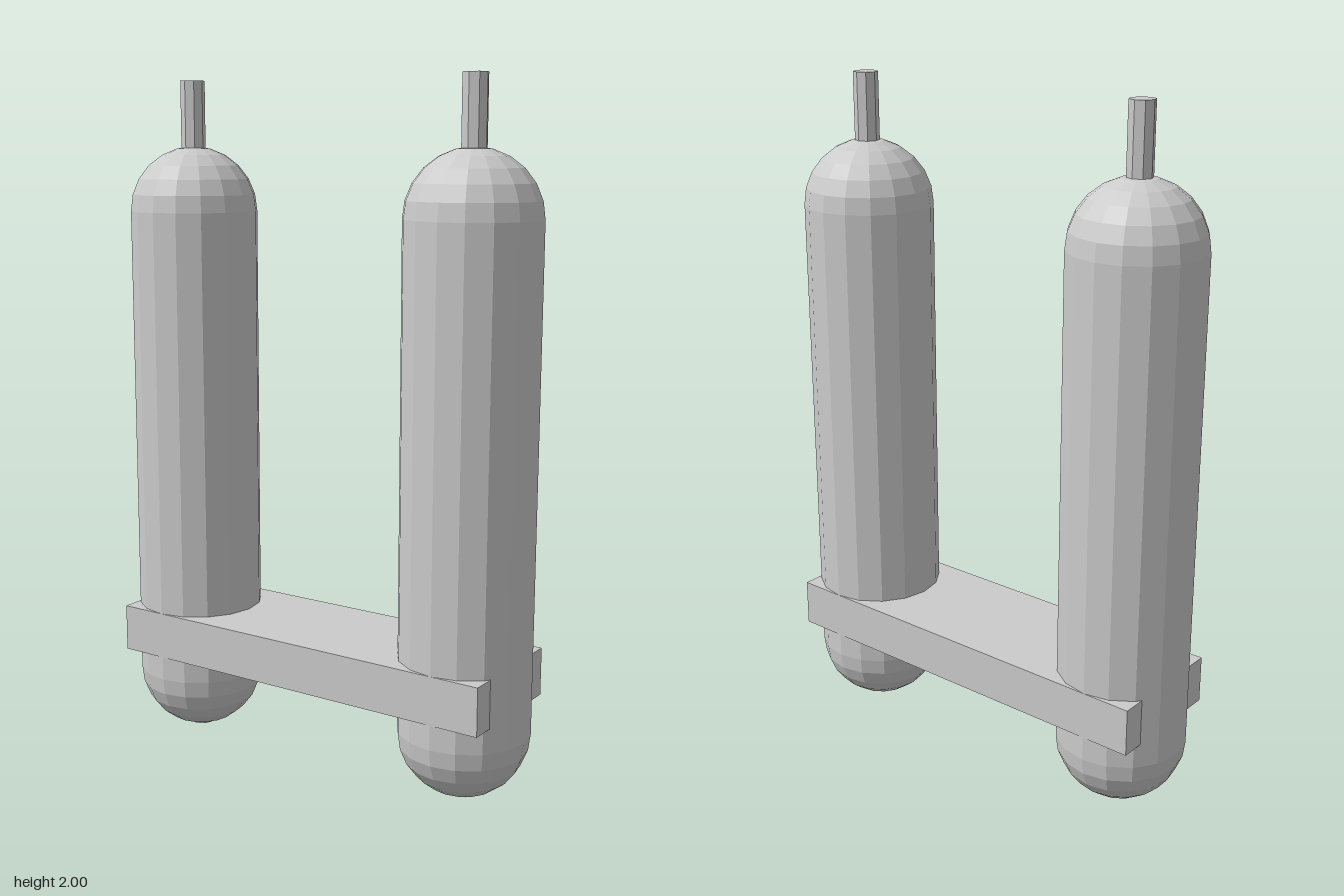
import * as THREE from 'three';

export function createModel() {
  const model = new THREE.Group();
  const material = new THREE.MeshStandardMaterial({ color: 0xcccccc, flatShading: true });
  const add = (parent, name, geometry, y) => {
    const mesh = new THREE.Mesh(geometry, material);
    mesh.name = name;
    mesh.position.y = y;
    parent.add(mesh);
  };

  const radius = 0.19, bottom = 0.193, top = 1.62, sides = 16;

  // Two round-ended tanks, each with a thin rod running right through it
  for (const side of [1, -1]) {
    const tank = new THREE.Group();
    tank.name = side > 0 ? 'leftTank' : 'rightTank';
    tank.position.x = side * 0.475;
    add(tank, 'tankBody', new THREE.CylinderGeometry(radius, radius, top - bottom, sides, 1, true), (top + bottom) / 2);
    add(tank, 'topDome', new THREE.SphereGeometry(radius, sides, 6, 0, Math.PI * 2, 0, Math.PI / 2), top);
    add(tank, 'bottomDome', new THREE.SphereGeometry(radius, sides, 6, 0, Math.PI * 2, Math.PI / 2, Math.PI / 2), bottom);
    add(tank, 'valveRod', new THREE.CylinderGeometry(0.036, 0.036, 2, 8), 1);
    model.add(tank);
  }

  // Flat slab joining the tanks near the base
  add(model, 'connectingSlab', new THREE.BoxGeometry(1.24, 0.14, 0.38), 0.335);

  return model;
}
